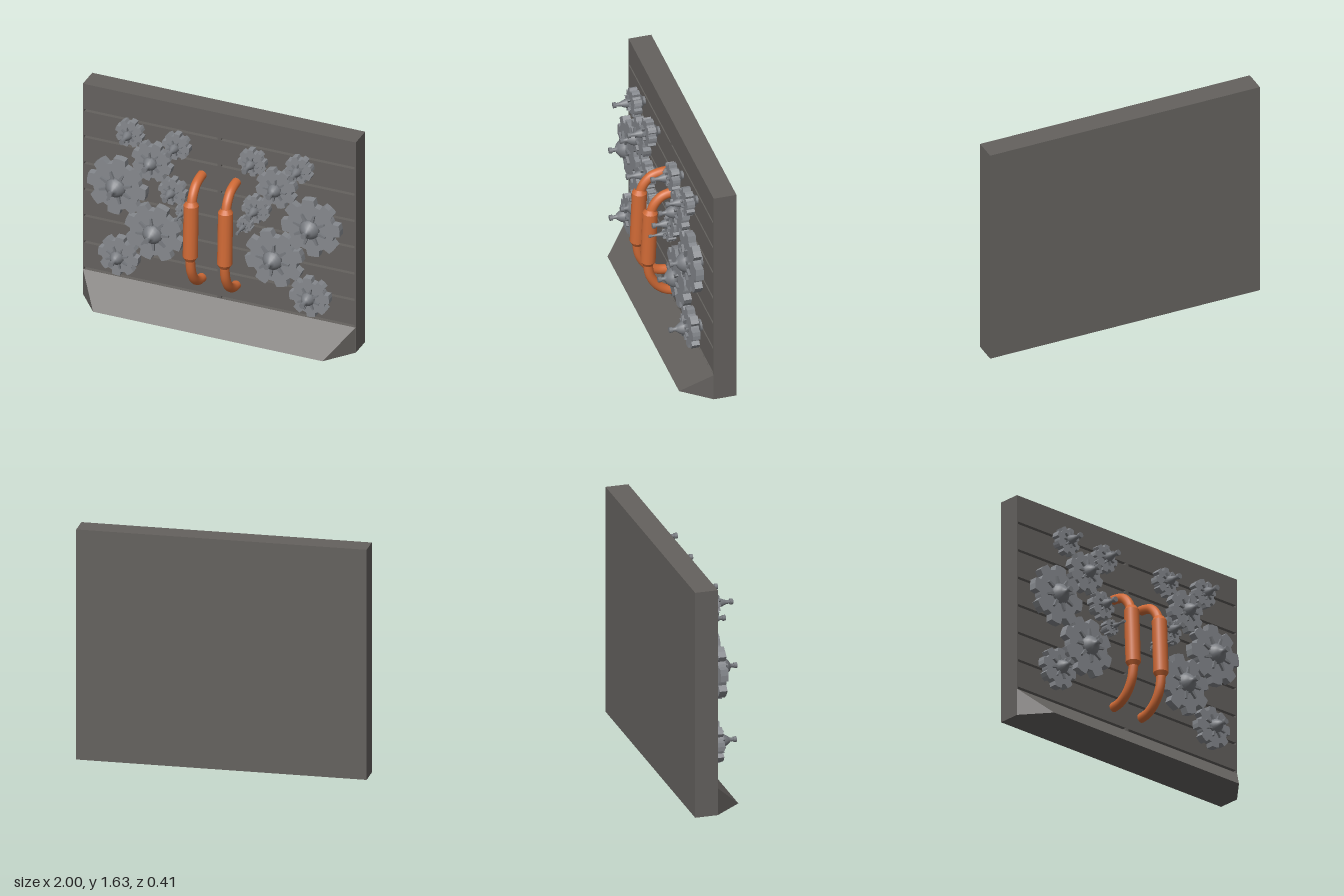
import * as THREE from 'three';
import { ConvexGeometry } from 'three/addons/geometries/ConvexGeometry.js';

const mat = (name, color) => new THREE.MeshStandardMaterial({ name, color });
const V = (x, y, z) => new THREE.Vector3(x, y, z);
const P = (x, y) => new THREE.Vector2(x, y);

function add(parent, name, geometry, material, x = 0, y = 0, z = 0) {
  const mesh = new THREE.Mesh(geometry, material);
  mesh.name = name;
  mesh.position.set(x, y, z);
  parent.add(mesh);
  return mesh;
}

function rect(Type, x0, y0, x1, y1) {
  return new Type([P(x0, y0), P(x1, y0), P(x1, y1), P(x0, y1)]);
}

// Toothed disc with eight tapered teeth
function gearDisc(R) {
  const pts = [], root = R * 0.8, step = Math.PI / 4;
  for (let i = 0; i < 8; i++) {
    for (const [r, f] of [[root, -0.36], [R, -0.25], [R, 0], [R, 0.25], [root, 0.36], [root, 0.5]]) {
      const a = (i + f) * step;
      pts.push(P(r * Math.cos(a), r * Math.sin(a)));
    }
  }
  return new THREE.ExtrudeGeometry(new THREE.Shape(pts), { depth: 0.055, bevelEnabled: false });
}

// Turned profile of [radius, z] pairs around the z axis
function turned(profile, sides = 16) {
  return new THREE.LatheGeometry(profile.map(([r, z]) => P(r, z)), sides).rotateX(Math.PI / 2);
}

function makeGear(R, steel, hubSteel) {
  const gear = new THREE.Group();
  gear.name = 'gear';
  add(gear, 'gearDisc', gearDisc(R), steel);
  // Tapered boss and axle behind the disc
  const b = Math.min(R * 0.36, 0.06);
  add(gear, 'rearBoss', turned([[b * 0.8, -0.05], [b * 0.8, -0.026], [b * 1.1, -0.026], [R * 0.68, 0.001]]), steel);
  // Domed hub, narrow neck and end knob
  const d = R * 0.34, k = Math.min(0.02, R * 0.2);
  add(gear, 'hubDome', turned([[d * 0.75, 0.05], [d, 0.07], [d * 0.93, 0.085], [d * 0.74, 0.105],
    [d * 0.5, 0.122], [k * 0.7, 0.135], [k * 0.6, 0.16]]), hubSteel);
  const knob = new THREE.CylinderGeometry(k, k, 0.022, 8).rotateX(Math.PI / 2);
  add(gear, 'hubKnob', knob, hubSteel, 0, 0, 0.168);
  // Eight tapered spikes around the hub
  const tip = R * 0.57, w = R * 0.065;
  const spikeShape = new THREE.Shape([P(d * 0.7, -w), P(tip, -w * 0.45), P(tip, w * 0.45), P(d * 0.7, w)]);
  const spikeGeo = new THREE.ExtrudeGeometry(spikeShape, { depth: 0.018, bevelEnabled: false });
  for (let i = 0; i < 8; i++) {
    add(gear, 'hubSpike', spikeGeo, hubSteel, 0, 0, 0.064).rotation.z = (i + 0.5) * Math.PI / 4;
  }
  return gear;
}

function makePipe(copper) {
  const pipe = new THREE.Group();
  pipe.name = 'pipe';
  const bend = pts => new THREE.TubeGeometry(new THREE.CatmullRomCurve3(pts), 24, 0.033, 14);
  add(pipe, 'upperBend', bend([V(0, 1.125, -0.06), V(0, 1.12, 0), V(0, 1.1, 0.06),
    V(0, 1.05, 0.108), V(0, 0.98, 0.138)]), copper);
  add(pipe, 'lowerBend', bend([V(0, 0.6, 0.155), V(0, 0.55, 0.154), V(0, 0.47, 0.138),
    V(0, 0.39, 0.09), V(0, 0.34, 0.02), V(0, 0.326, -0.06)]), copper);
  // Thick sleeve, leaning slightly forward at the bottom
  const sleeve = new THREE.LatheGeometry([P(0.033, -0.225), P(0.052, -0.195), P(0.052, -0.195),
    P(0.052, 0.195), P(0.052, 0.195), P(0.033, 0.225)], 14);
  add(pipe, 'sleeve', sleeve, copper, 0, 0.79, 0.147).rotation.x = -0.04;
  return pipe;
}

export function createModel() {
  const model = new THREE.Group();
  model.name = 'gearWall';
  const stone = mat('darkStone', 0x64615e);
  const steel = mat('steel', 0x85888d);
  const hubSteel = mat('hubSteel', 0x787b80);
  const copper = mat('copper', 0xd06a36);

  // Wall slab with a slotted front layer
  add(model, 'wallSlab', new THREE.BoxGeometry(2, 1.63, 0.13), stone, 0, 0.815, -0.14);
  const front = rect(THREE.Shape, -1, 0, 1, 1.63);
  for (let i = 1; i <= 7; i++) {
    const y = i * 0.204;
    front.holes.push(rect(THREE.Path, -0.99, y - 0.009, -0.012, y + 0.009));
    front.holes.push(rect(THREE.Path, 0.012, y - 0.009, 0.99, y + 0.009));
  }
  add(model, 'slottedFront', new THREE.ExtrudeGeometry(front, { depth: 0.03, bevelEnabled: false }),
    stone, 0, 0, -0.075);

  // Sloping foot with angled ends
  const foot = [];
  for (const s of [-1, 1]) foot.push(V(s, 0.195, -0.046), V(s, 0, -0.046), V(s * 0.84, 0, 0.15));
  add(model, 'slopingFoot', new ConvexGeometry(foot), stone);

  // Mirrored gear trains: x, y, radius, turn
  const gears = [
    [0.711, 0.95, 0.215, 0.1], [0.44, 0.65, 0.212, 0.3], [0.7, 0.41, 0.147, 0.1],
    [0.455, 1.195, 0.147, 0.3], [0.278, 1.355, 0.1, 0.1], [0.62, 1.377, 0.1, 0.3],
    [0.305, 1.0, 0.1, 0.1], [0.225, 0.862, 0.057, 0.3],
  ];
  for (const s of [-1, 1]) {
    for (const [x, y, R, turn] of gears) {
      const gear = makeGear(R, steel, hubSteel);
      gear.position.set(s * x, y, 0);
      gear.rotation.z = s * turn;
      model.add(gear);
    }
    const pipe = makePipe(copper);
    pipe.position.x = s * 0.126;
    model.add(pipe);
  }
  return model;
}
